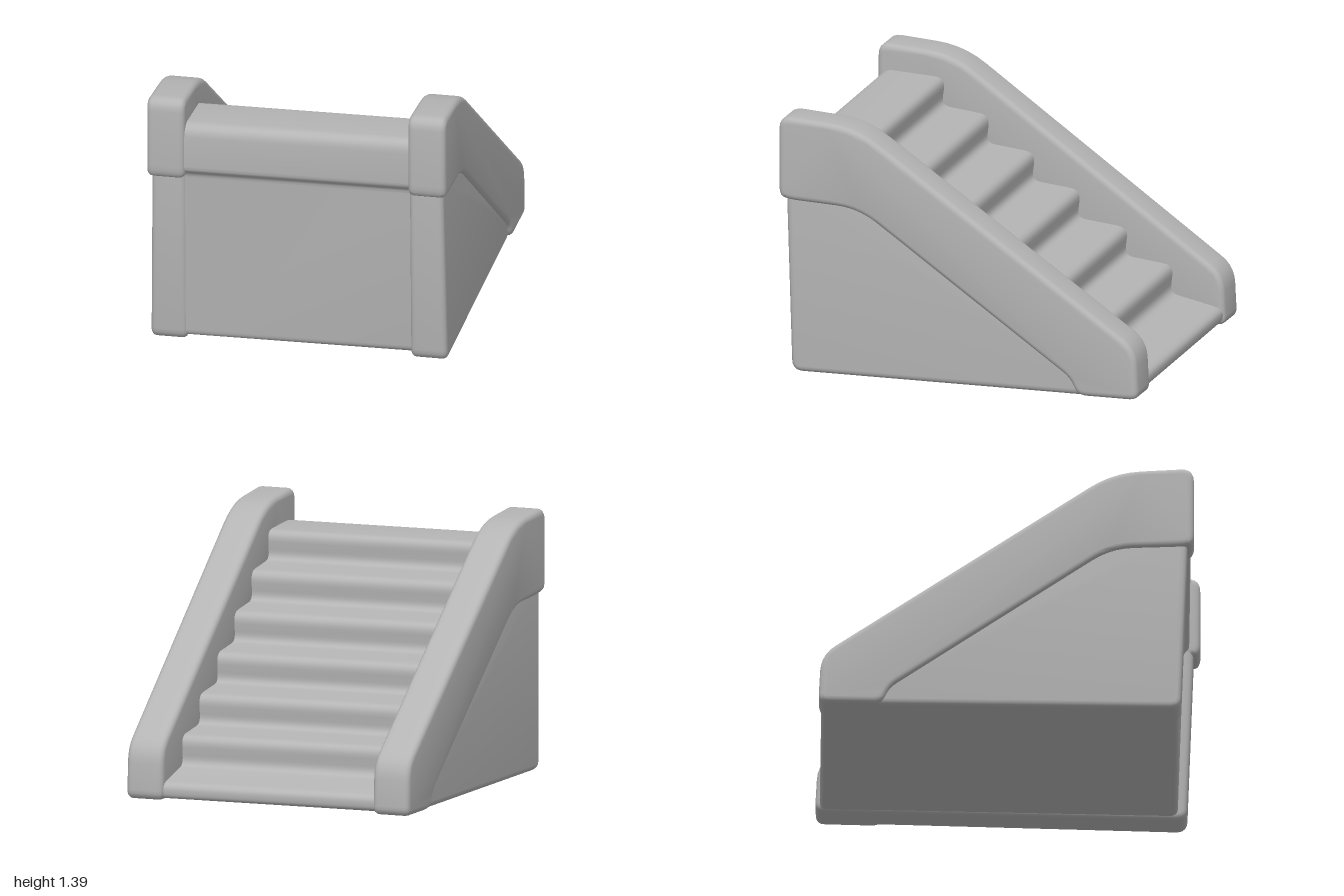
import * as THREE from 'three';
import { toCreasedNormals } from 'three/addons/utils/BufferGeometryUtils.js';

// Closed outline through [z, y, cornerRadius] points with softened corners
function roundedOutline(corners) {
  const pts = [];
  const n = corners.length;
  corners.forEach(([z, y, r], i) => {
    const p = new THREE.Vector2(z, y);
    const toward = ([qz, qy]) => {
      const d = new THREE.Vector2(qz, qy).sub(p);
      return p.clone().add(d.setLength(Math.min(r, d.length() * 0.45)));
    };
    const a = toward(corners[(i + n - 1) % n]);
    const b = toward(corners[(i + 1) % n]);
    pts.push(...new THREE.QuadraticBezierCurve(a, p, b).getPoints(5));
  });
  return new THREE.Shape(pts);
}

// Extrude a (z, y) outline between two x positions, then bend it by a rule
function slab(name, corners, x0, x1, bevel, material, warp) {
  const geo = new THREE.ExtrudeGeometry(roundedOutline(corners), {
    depth: x1 - x0 - 2 * bevel,
    bevelEnabled: bevel > 0,
    bevelSize: bevel,
    bevelThickness: bevel,
    bevelOffset: -bevel,
    bevelSegments: 4,
  });
  geo.rotateY(-Math.PI / 2);
  geo.translate(x1 - bevel, 0, 0);
  const pos = geo.attributes.position;
  const v = new THREE.Vector3();
  for (let i = 0; i < pos.count; i++) {
    warp(v.fromBufferAttribute(pos, i));
    pos.setXYZ(i, v.x, v.y, v.z);
  }
  const mesh = new THREE.Mesh(toCreasedNormals(geo, 0.75), material);
  mesh.name = name;
  return mesh;
}

export function createModel() {
  const model = new THREE.Group();
  model.name = 'staircase';
  const stone = new THREE.MeshStandardMaterial({ color: 0xb4b4b4 });
  stone.name = 'grey stone';

  // Stair body: recessed front panel, top beam and six risers down to the back
  const stairs = [
    [-0.96, 0.085, 0.03], [0.895, 0.03, 0.04],
    [0.925, 0.955, 0.02], [0.955, 0.985, 0.02], [0.955, 1.24, 0.07],
  ];
  const nosings = [0.59, 0.34, 0.085, -0.17, -0.435, -0.69];
  const rise = 0.173;
  nosings.forEach((z, i) => {
    const top = 1.235 - i * rise;
    stairs.push([z, top, 0.06], [z + 0.02, top - rise + 0.02, 0.05]);
  });
  stairs.push([-0.965, 0.165, 0.05]);
  model.add(slab('stairs', stairs, -0.66, 0.66, 0, stone, (v) => {
    v.z -= 0.02 * v.x;
  }));

  // Side walls: inset panel below a thick coping that follows the slope
  const panel = [
    [0.93, 0.007, 0.06], [0.968, 1.05, 0.05], [0.6, 1.05, 0.05],
    [-0.75, 0.2, 0.05], [-0.75, 0.062, 0.05],
  ];
  const coping = [
    [1.0, 0.96, 0.06], [1.0, 1.4, 0.07], [0.57, 1.383, 0.15],
    [-0.985, 0.35, 0.09], [-1.0, 0.072, 0.05], [-0.66, 0.06, 0.05],
    [-0.62, 0.15, 0.05], [0.56, 0.94, 0.12], [0.94, 0.945, 0.05],
  ];
  for (const side of [1, -1]) {
    const wall = new THREE.Group();
    wall.name = side > 0 ? 'leftWall' : 'rightWall';
    const skew = (v) => {
      if (side > 0) {
        v.y += 0.005 * (1 - v.y);
        return;
      }
      v.x += 0.01 - 0.02 * v.z;
      v.y *= 0.985;
      v.z = v.z * 0.975 + 0.01;
    };
    // The panel flares outward slightly toward the front foot
    const flare = (v) => {
      if (Math.abs(v.x) > 0.68) {
        v.x += side * 0.015 * Math.max(0, 1 - v.y) * Math.max(0, v.z);
      }
      skew(v);
    };
    const span = (a, b) => (side > 0 ? [a, b] : [-b, -a]);
    wall.add(slab('wallPanel', panel, ...span(0.59, 0.77), 0.03, stone, flare));
    wall.add(slab('wallCoping', coping, ...span(0.59, 0.79), 0.03, stone, skew));
    model.add(wall);
  }
  return model;
}
